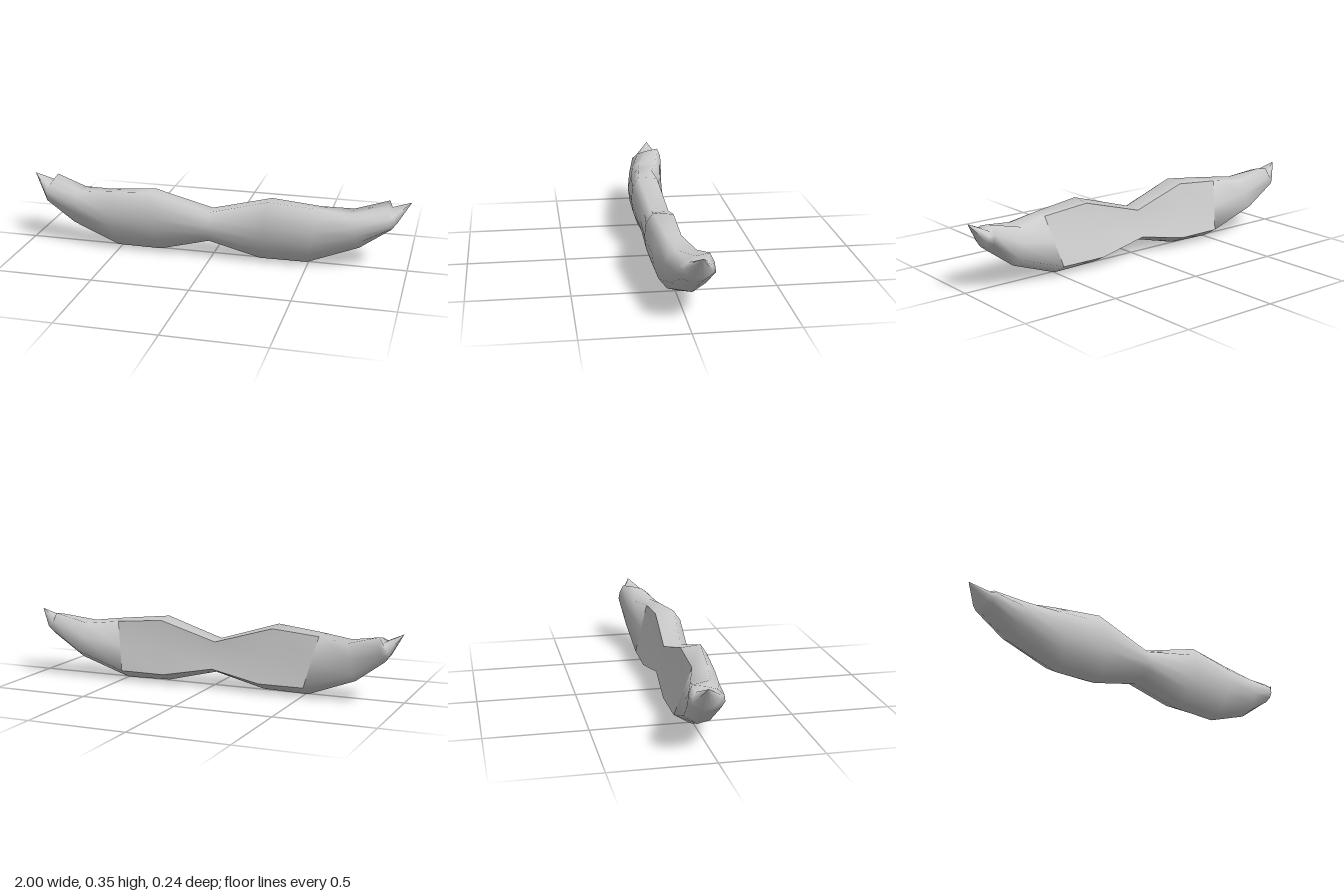
import * as THREE from 'three';

// Cross-sections from the middle outwards: half-span at the top, half-span at the bottom,
// then [z, y] points from the back top edge, over the front, under, and up the back.
const SECTIONS = [
  [0, 0, [[-.04, .235], [.05, .24], [.085, .22], [.106, .185], [.106, .15], [.09, .115], [.05, .085], [-.02, .075], [-.08, .1], [-.052, .166]]],
  [.31, .265, [[-.02, .322], [.08, .332], [.115, .28], [.122, .205], [.112, .138], [.09, .075], [.045, .015], [-.015, .008], [-.097, .05], [-.048, .183]]],
  [.56, .505, [[-.02, .3], [.055, .308], [.095, .27], [.115, .205], [.107, .135], [.082, .07], [.04, .015], [-.013, .001], [-.095, .05], [-.057, .175]]],
  [.72, .76, [[-.065, .286], [.03, .29], [.068, .275], [.086, .235], [.08, .19], [.055, .145], [.02, .11], [-.04, .097], [-.105, .14], [-.09, .215]]],
  [.89, .91, [[-.095, .334], [-.03, .322], [.02, .306], [.05, .28], [.053, .25], [.035, .225], [0, .212], [-.055, .206], [-.12, .25], [-.115, .292]]],
  [.905, .935, [[-.085, .304], [-.03, .305], [.005, .302], [.028, .288], [.028, .27], [.01, .25], [-.02, .24], [-.06, .238], [-.103, .262], [-.1, .285]]],
  [1, 1, Array(10).fill([-.047, .348])],
];
const COUNT = 10;
const PLATE_END = 2; // section where the hollow back ends

// Mirror the sections into a full row of rings, with a slight sideways lean in the middle
function makeRings() {
  const ring = ([top, bottom, pts], side) => pts.map(([z, y], i) => {
    const t = i === COUNT - 1 ? 0.5 : THREE.MathUtils.clamp((i - 1) / 5, 0, 1);
    const s = THREE.MathUtils.lerp(top, bottom, t);
    return [side * s - 0.015 * (1 - s), y, z];
  });
  return [
    ...SECTIONS.slice(1).reverse().map((s) => ring(s, -1)),
    ...SECTIONS.map((s) => ring(s, 1)),
  ];
}

// Join neighbouring rings wherever keep(ring, point) allows; the pointed ends take one triangle
function skin(rings, keep) {
  const index = [];
  for (let r = 0; r < rings.length - 1; r++) {
    for (let i = 0; i < COUNT; i++) {
      if (!keep(r, i)) continue;
      const j = (i + 1) % COUNT;
      const a = r * COUNT, b = a + COUNT;
      if (r > 0) index.push(a + i, a + j, b + j);
      if (r < rings.length - 2) index.push(a + i, b + j, b + i);
    }
  }
  const g = new THREE.BufferGeometry();
  g.setAttribute('position', new THREE.Float32BufferAttribute(rings.flat(2), 3));
  g.setIndex(index);
  g.computeVertexNormals();
  return g;
}

export function createModel() {
  const group = new THREE.Group();
  group.name = 'moustache';
  const material = new THREE.MeshStandardMaterial({ color: 0xcccccc, side: THREE.DoubleSide });
  const rings = makeRings();
  const mid = SECTIONS.length - 1;
  const isPlate = (r, i) => i >= COUNT - 2 && r >= mid - PLATE_END && r < mid + PLATE_END;

  // Rounded front with curled, pointed ends
  const body = new THREE.Mesh(skin(rings, (r, i) => !isPlate(r, i)), material);
  body.name = 'whiskers';
  // Slightly hollow back face, with its own normals so its rim stays sharp
  const back = new THREE.Mesh(skin(rings, isPlate), material);
  back.name = 'backFace';
  group.add(body, back);
  return group;
}
